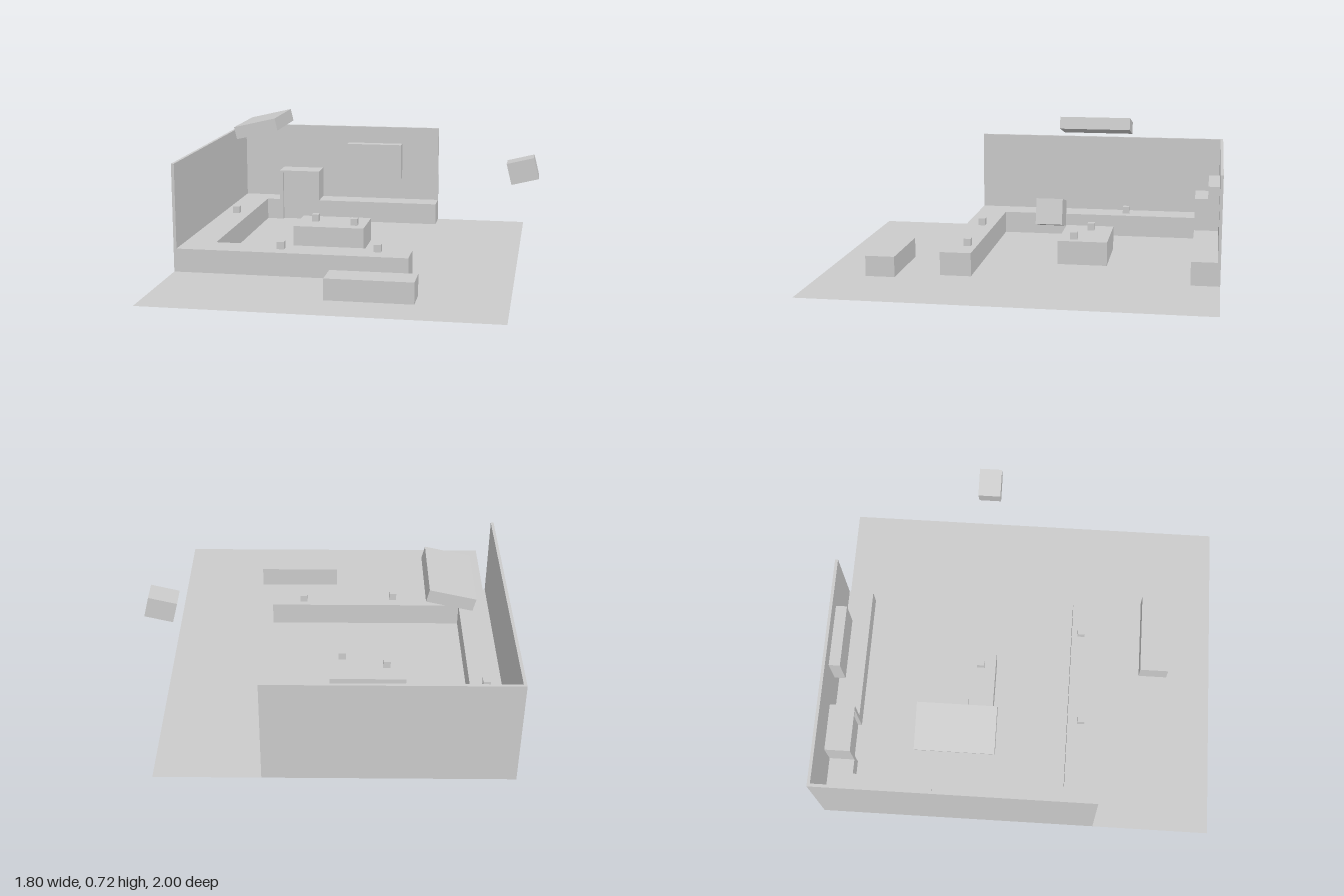
import * as THREE from 'three';

const material = new THREE.MeshStandardMaterial({ color: 0xcccccc, flatShading: true, side: THREE.DoubleSide });

// Plan outline given as [x, z] pairs
const plan = (points) => new THREE.Shape(points.map(([x, z]) => new THREE.Vector2(x, z)));
const rect = (x0, x1, z0, z1) => [[x0, z0], [x1, z0], [x1, z1], [x0, z1]];

// Extrude a plan outline from y0 up to y1
function slab(points, y0, y1) {
  const g = new THREE.ExtrudeGeometry(plan(points), { depth: y1 - y0, bevelEnabled: false });
  return g.rotateX(Math.PI / 2).translate(0, y1, 0);
}

// Remove the faces lying on the ground, leaving the hollow underside open
function openBottom(geometry) {
  const source = geometry.index ? geometry.toNonIndexed() : geometry;
  const p = source.attributes.position;
  const kept = [];
  for (let i = 0; i < p.count; i += 3) {
    if ([0, 1, 2].every((k) => Math.abs(p.getY(i + k)) < 1e-5)) continue;
    for (let k = 0; k < 3; k++) kept.push(p.getX(i + k), p.getY(i + k), p.getZ(i + k));
  }
  const g = new THREE.BufferGeometry();
  g.setAttribute('position', new THREE.Float32BufferAttribute(kept, 3));
  g.computeVertexNormals();
  return g;
}

export function createModel() {
  const model = new THREE.Group();
  model.name = 'kitchenRoom';
  const add = (name, geometry) => {
    const mesh = new THREE.Mesh(geometry, material);
    mesh.name = name;
    model.add(mesh);
    return mesh;
  };

  // Room-side edge of the U-shaped counter, including the recessed doorway
  const inner = [
    [0.29, -0.855], [-0.41, -0.855], [-0.43, -0.855], [-0.43, -0.875], [-0.63, -0.875], [-0.63, -0.855],
    [-0.65, -0.855], [-0.725, -0.855], [-0.725, 0.243], [0.29, 0.243],
  ];
  const island = rect(-0.41, -0.025, -0.415, -0.155);
  const bench = rect(-0.06, 0.365, 0.62, 0.77);

  // Floor, cut away beneath the hollow furniture
  const floor = plan([[-0.9, 0.403], [-0.9, 1], [0.8, 1], [0.8, -1], [0.29, -1], ...inner, [0.29, 0.403]]);
  floor.holes.push(plan(island), plan(bench));
  add('floor', new THREE.ShapeGeometry(floor).rotateX(Math.PI / 2));

  // Counter, island and front bench
  add('counter', openBottom(slab([[-0.9, 0.403], [-0.9, -1], [0.29, -1], ...inner, [0.29, 0.403]], 0, 0.12)));
  add('island', openBottom(slab(island, 0, 0.125)));
  add('frontBench', openBottom(slab(bench, 0, 0.105)));

  // Back and side walls standing on the counter's outer edge
  add('walls', slab([
    [-0.9, -1], [0.29, -1], [0.29, -0.985], [-0.885, -0.985], [-0.885, 0.403], [-0.9, 0.403],
  ], 0.12, 0.553));

  // Tall cabinet with a recessed front panel
  add('cabinetBody', slab(rect(-0.65, -0.41, -0.985, -0.875), 0.12, 0.295));
  const frame = plan([
    [-0.65, 0.12], [-0.63, 0.12], [-0.63, 0.283], [-0.43, 0.283],
    [-0.43, 0.12], [-0.41, 0.12], [-0.41, 0.295], [-0.65, 0.295],
  ]);
  add('cabinetFrame', new THREE.ExtrudeGeometry(frame, { depth: 0.02, bevelEnabled: false }).translate(0, 0, -0.875));

  // Board on the back wall
  add('wallBoard', slab(rect(-0.25, 0.073, -0.985, -0.928), 0.25, 0.455));

  // Small cubes on the counter and island
  for (const [x, y, z] of [
    [-0.807, 0.12, -0.455], [-0.367, 0.12, 0.313], [0.122, 0.12, 0.293],
    [-0.315, 0.125, -0.302], [-0.088, 0.125, -0.235],
  ]) {
    add('smallCube', new THREE.BoxGeometry(0.038, 0.038, 0.038)).position.set(x, y + 0.019, z);
  }

  // Tilted boxes hanging in the air
  const hangingBoxes = [
    ['hangingPanel', [0.228, 0.066, 0.385], [-0.597, 0.659, -0.298], 0.23],
    ['hangingBlock', [0.145, 0.114, 0.117], [0.813, 0.458, -0.238], 0.245],
  ];
  for (const [name, size, position, tilt] of hangingBoxes) {
    const box = add(name, new THREE.BoxGeometry(...size));
    box.position.set(...position);
    box.rotation.z = tilt;
  }

  return model;
}
